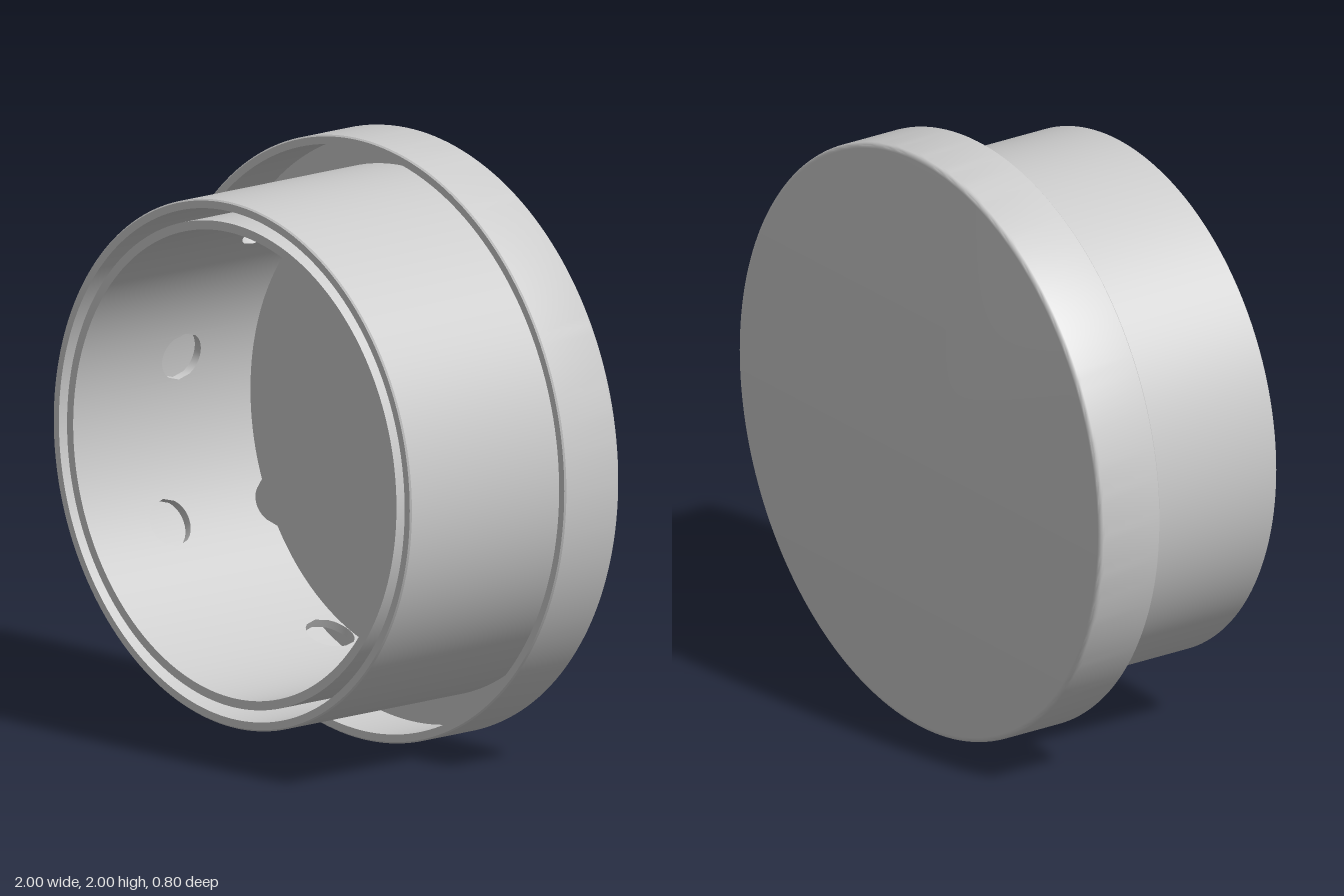
import * as THREE from 'three';
import { toCreasedNormals } from 'three/addons/utils/BufferGeometryUtils.js';

const FRONT = 0.4, FLOOR = -0.37, BACK = -0.4;
const material = new THREE.MeshStandardMaterial({ color: 0xcccccc });

// Revolve an (r, z) profile about the z axis
function turned(name, profile) {
  const geo = new THREE.LatheGeometry(profile.map(p => new THREE.Vector2(...p)), 180);
  geo.rotateX(Math.PI / 2);
  const mesh = new THREE.Mesh(toCreasedNormals(geo, 0.6), material);
  mesh.name = name;
  return mesh;
}

// Tube wall pierced by round holes, built in one-degree columns.
// Each hole is { a: angle in degrees, w: depth behind the front edge }.
function piercedSleeve(rIn, rOut, depth, holes, halfAngle, holeR) {
  const pos = [];
  const point = (r, deg, w) => {
    const t = THREE.MathUtils.degToRad(deg);
    return [r * Math.cos(t), r * Math.sin(t), FRONT - w];
  };
  const quad = (a, b, c, d) => pos.push(...a, ...b, ...c, ...a, ...c, ...d);

  for (let deg = 0; deg < 360; deg++) {
    const next = deg + 1;
    // Solid spans as [depth at this edge, depth at next edge]
    const edges = [[0, 0]];
    holes
      .map(h => ({ w: h.w, off: ((deg - h.a + 540) % 360) - 180 }))
      .filter(h => h.off >= -halfAngle && h.off < halfAngle)
      .sort((p, q) => p.w - q.w)
      .forEach(({ w, off }) => {
        const half = o => holeR * Math.sqrt(Math.max(0, 1 - (o / halfAngle) ** 2));
        const h0 = half(off), h1 = half(off + 1);
        edges.push([w - h0, w - h1], [w + h0, w + h1]);
      });
    edges.push([depth, depth]);

    for (let i = 0; i < edges.length; i += 2) {
      const [s0, s1] = edges[i].map(v => Math.min(v, depth));
      const [e0, e1] = edges[i + 1].map(v => Math.min(v, depth));
      if (s0 >= depth && s1 >= depth) continue;
      // Outer face, inner face, then the front and back edges of the span
      quad(point(rOut, deg, s0), point(rOut, deg, e0), point(rOut, next, e1), point(rOut, next, s1));
      quad(point(rIn, deg, s0), point(rIn, next, s1), point(rIn, next, e1), point(rIn, deg, e0));
      quad(point(rIn, deg, s0), point(rOut, deg, s0), point(rOut, next, s1), point(rIn, next, s1));
      quad(point(rIn, deg, e0), point(rIn, next, e1), point(rOut, next, e1), point(rOut, deg, e0));
    }
  }
  const geo = new THREE.BufferGeometry();
  geo.setAttribute('position', new THREE.Float32BufferAttribute(pos, 3));
  const mesh = new THREE.Mesh(toCreasedNormals(geo, 0.6), material);
  mesh.name = 'piercedInnerSleeve';
  return mesh;
}

export function createModel() {
  const group = new THREE.Group();
  group.name = 'doubleWalledCap';

  // Shallow cup: back plate with a raised rim and rounded back edge
  const round = 0.018, corner = [];
  for (let i = 0; i <= 4; i++) {
    const t = (i / 4) * Math.PI / 2;
    corner.push([1 - round + round * Math.sin(t), BACK + round - round * Math.cos(t)]);
  }
  group.add(turned('backPlateAndRim', [
    [0, BACK], ...corner,
    [1, -0.165], [0.995, -0.16], [0.97, -0.16], [0.97, FLOOR], [0, FLOOR],
  ]));

  // Plain outer sleeve
  group.add(turned('outerSleeve', [
    [0.875, FLOOR], [0.875, FRONT - 0.005], [0.87, FRONT], [0.845, FRONT], [0.845, FLOOR],
  ]));

  // Two spiralling rows of holes through the inner sleeve
  const holes = [];
  for (const start of [48, 208]) {
    for (let i = 0; i < 5; i++) {
      holes.push({ a: (start + 40 * i) % 360, w: 0.8 - 0.115 * i });
    }
  }
  group.add(piercedSleeve(0.775, 0.805, FRONT - FLOOR, holes, 6, 0.083));

  group.position.y = 1;
  const model = new THREE.Group();
  model.name = 'cap';
  model.add(group);
  return model;
}
